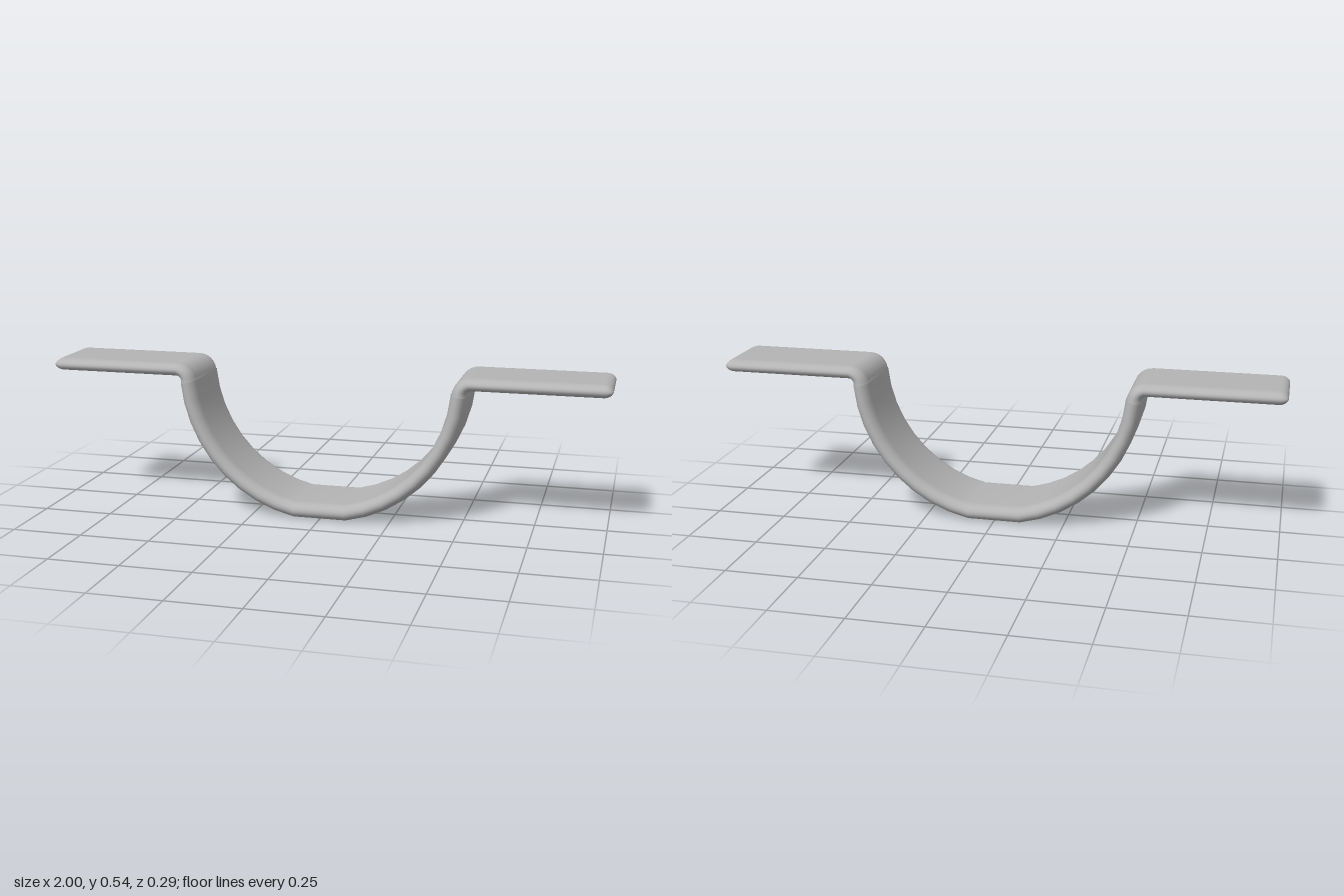
import * as THREE from 'three';

const TOP = 0.5175; // mid-height of the mounting tabs

// Right half of the centreline, bottom to tab tip: [x, y, halfThickness, halfWidth]
function halfPath() {
  const pts = [];
  // curved saddle with a slightly flat bottom
  for (let i = 0; i <= 9; i++) {
    const a = THREE.MathUtils.degToRad(11 + (74 * i) / 9);
    pts.push([0.489 * Math.sin(a), 0.52 - 0.498 * Math.cos(a), 0.0285, 0.146]);
  }
  // bend from saddle to tab
  for (let i = 0; i <= 6; i++) {
    const a = Math.PI - (i / 6) * (Math.PI / 2), k = i / 6;
    pts.push([0.528 + 0.04 * Math.cos(a), TOP - 0.04 + 0.04 * Math.sin(a), 0.027 - 0.0045 * k, 0.145 - 0.005 * k]);
  }
  // flat tab with a rounded tip
  pts.push([0.6, TOP, 0.0225, 0.14], [0.8, TOP, 0.0225, 0.14]);
  for (let i = 0; i <= 5; i++) {
    const a = (i / 5) * Math.PI * 0.47;
    pts.push([0.97 + 0.03 * Math.sin(a), TOP, 0.0225 * Math.cos(a), 0.115 + 0.025 * Math.cos(a)]);
  }
  return pts;
}

// Cross-section of the strip: flat faces, soft elliptical edges
function section(t, w) {
  const ring = [], r = 0.042, n = 12;
  for (const side of [1, -1]) {
    for (let i = 0; i <= n; i++) {
      const a = (i / n) * Math.PI;
      ring.push([side * (w - r + r * Math.sin(a)), side * t * Math.cos(a)]);
    }
  }
  return ring; // [z, offset along the path normal]
}

function stripGeometry() {
  const half = halfPath();
  const path = [...half.map(([x, ...rest]) => [-x, ...rest]).reverse(), ...half];
  const pos = [], idx = [], last = path.length - 1;
  let m = 0;
  path.forEach(([x, y, t, w], i) => {
    const a = path[Math.max(i - 1, 0)], b = path[Math.min(i + 1, last)];
    const d = new THREE.Vector2(b[0] - a[0], b[1] - a[1]).normalize();
    const ring = section(t, w);
    m = ring.length;
    for (const [z, o] of ring) pos.push(x - d.y * o, y + d.x * o, z);
  });
  for (let i = 0; i < last; i++) {
    for (let j = 0; j < m; j++) {
      const a = i * m + j, b = i * m + ((j + 1) % m), c = a + m, d = b + m;
      idx.push(a, b, c, b, d, c);
    }
  }
  // close both tips
  for (let j = 1; j < m - 1; j++) {
    idx.push(0, j + 1, j);
    idx.push(last * m, last * m + j, last * m + j + 1);
  }
  const g = new THREE.BufferGeometry();
  g.setAttribute('position', new THREE.Float32BufferAttribute(pos, 3));
  g.setIndex(idx);
  g.computeVertexNormals();
  g.computeBoundingBox();
  g.translate(0, -g.boundingBox.min.y, 0);
  return g;
}

export function createModel() {
  const group = new THREE.Group();
  group.name = 'saddleBracket';
  const metal = new THREE.MeshStandardMaterial({ color: 0xb4b4b4 });
  metal.name = 'light grey metal';
  metal.side = THREE.DoubleSide;
  const strip = new THREE.Mesh(stripGeometry(), metal);
  strip.name = 'bentStrip';
  group.add(strip);
  return group;
}
